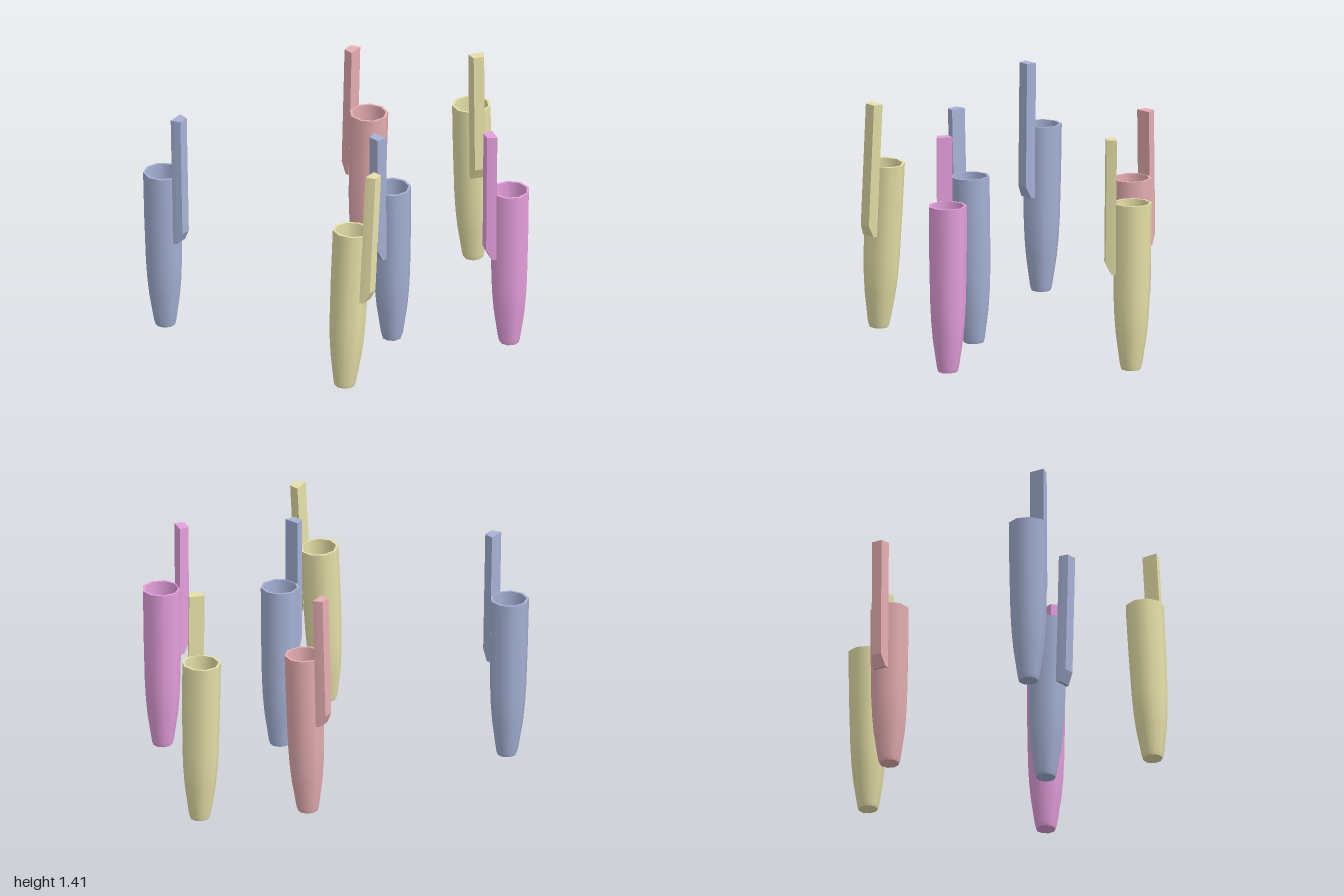
import * as THREE from 'three';

const SIDES = 9;

// One faceted ring surface; separate pieces keep the rim and base edges sharp
function ring(name, points, material) {
  const profile = points.map(([r, y]) => new THREE.Vector2(r, y));
  // a flat side faces the clip on +x
  const geometry = new THREE.LatheGeometry(profile, SIDES, Math.PI / 2 + Math.PI / SIDES);
  const mesh = new THREE.Mesh(geometry, material);
  mesh.name = name;
  return mesh;
}

// Tapered bar with a bevelled lower end, standing off the +x side of the cap
function clip(material) {
  const columns = [
    { r: 0.1, half: 0.047, bottom: 0.575 },
    { r: 0.124, half: 0.042, bottom: 0.575 },
    { r: 0.159, half: 0.032, bottom: 0.645 },
  ];
  const box = new THREE.BoxGeometry(2, 2, 2, 2, 1, 1);
  const p = box.attributes.position;
  for (let i = 0; i < p.count; i++) {
    const c = columns[Math.round(p.getX(i)) + 1];
    p.setXYZ(i, c.r, p.getY(i) > 0 ? 1.385 : c.bottom, Math.sign(p.getZ(i)) * c.half);
  }
  const geometry = box.toNonIndexed();
  geometry.computeVertexNormals();
  const mesh = new THREE.Mesh(geometry, material);
  mesh.name = 'clip';
  return mesh;
}

function penCap(color) {
  const material = new THREE.MeshStandardMaterial({ color });
  const cap = new THREE.Group();
  cap.add(
    ring('capTip', [[0, 0], [0.058, 0]], material),
    ring('capBody', [[0.058, 0], [0.066, 0.025], [0.092, 0.2], [0.102, 0.31],
      [0.108, 0.43], [0.113, 0.7], [0.115, 1]], material),
    ring('rim', [[0.115, 1], [0.1, 1]], material),
    ring('innerWall', [[0.1, 1], [0.098, 0.7], [0.09, 0.36], [0.078, 0.2], [0.046, 0.04]], material),
    ring('innerFloor', [[0.046, 0.04], [0, 0.04]], material),
    clip(material),
  );
  return cap;
}

export function createModel() {
  const model = new THREE.Group();
  model.name = 'penCaps';
  const blue = 0xa6b2d6, pink = 0xe6aeb2, yellow = 0xe6e1a8, magenta = 0xe6a0de;

  // base position, lean per unit of height, clip direction in degrees from +x toward +z
  const caps = [
    { name: 'blueCapLeft', color: blue, at: [-0.868, 0.02, 0.87], lean: [-0.017, 0.005], turn: 0 },
    { name: 'pinkCap', color: pink, at: [-0.368, 0.014, -0.435], lean: [0.022, -0.008], turn: 177 },
    { name: 'yellowCapBack', color: yellow, at: [0.09, 0.012, -0.885], lean: [-0.013, 0], turn: 37 },
    { name: 'blueCapMiddle', color: blue, at: [0.3, 0.016, 0.222], lean: [0.012, 0.018], turn: 96 },
    { name: 'yellowCapFront', color: yellow, at: [0.436, 0.02, 0.885], lean: [0.008, -0.066], turn: -4 },
    { name: 'magentaCap', color: magenta, at: [0.876, 0.002, -0.155], lean: [0.006, -0.003], turn: 125 },
  ];

  const up = new THREE.Vector3(0, 1, 0);
  for (const { name, color, at, lean, turn } of caps) {
    const cap = penCap(color);
    cap.name = name;
    cap.position.set(...at);
    const axis = new THREE.Vector3(lean[0], 1, lean[1]).normalize();
    const yaw = new THREE.Quaternion().setFromAxisAngle(up, -THREE.MathUtils.degToRad(turn));
    cap.quaternion.setFromUnitVectors(up, axis).multiply(yaw);
    model.add(cap);
  }
  return model;
}
